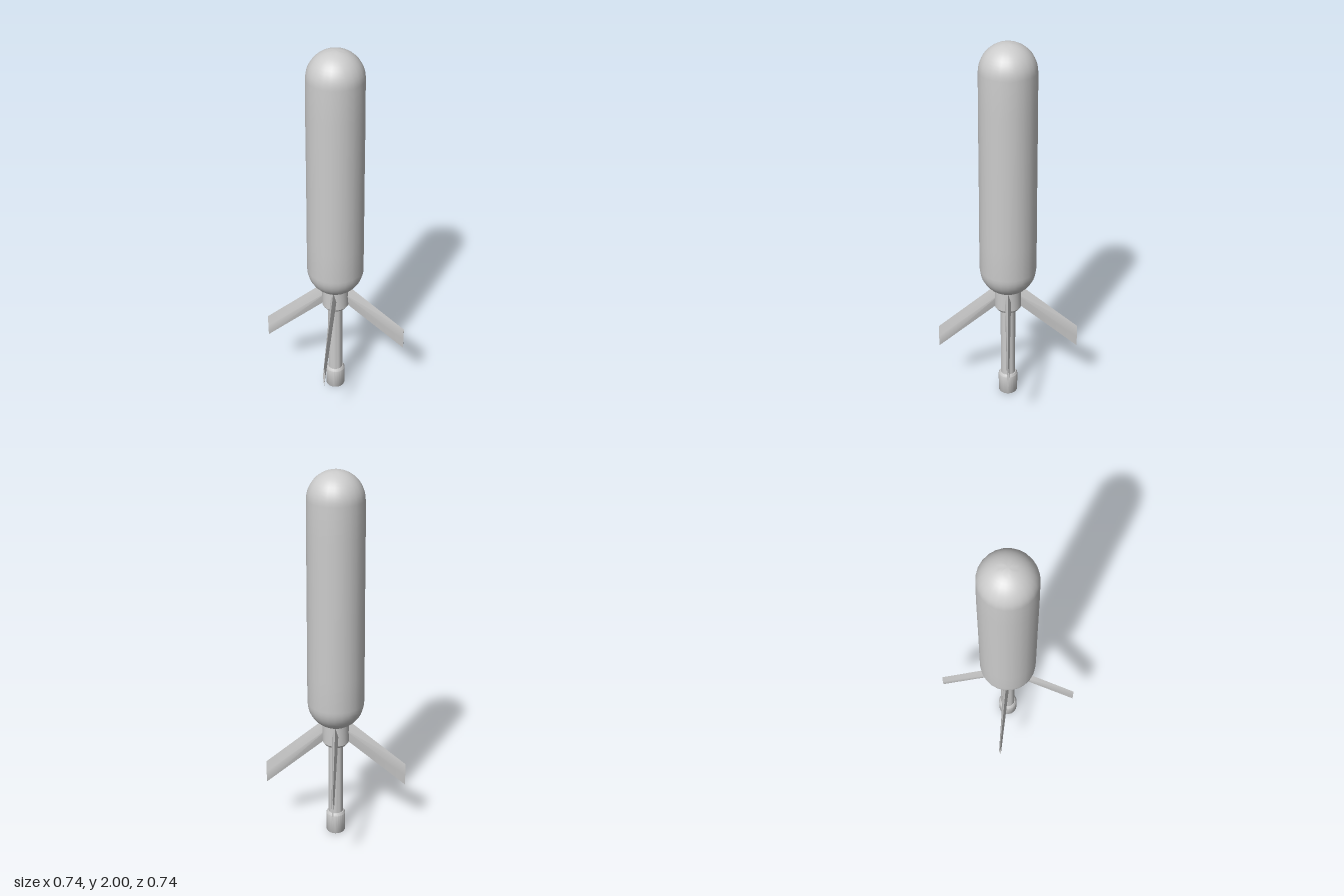
import * as THREE from 'three';
import { toCreasedNormals } from 'three/addons/utils/BufferGeometryUtils.js';

const material = new THREE.MeshStandardMaterial({ color: 0xcccccc });

function addPart(group, name, geometry, crease = 0.6) {
  const mesh = new THREE.Mesh(toCreasedNormals(geometry, crease), material);
  mesh.name = name;
  group.add(mesh);
  return mesh;
}

// Turned part from [radius, height] pairs, listed from bottom to top
function turned(points, sides = 24) {
  return new THREE.LatheGeometry(points.map(([r, y]) => new THREE.Vector2(r, y)), sides);
}

// Tapered, swept-back fin with a diamond section, pointing along +x
function finGeometry() {
  // x, top height, bottom height, half thickness
  const stations = [[0.03, 0.702, 0.577, 0.017], [0.37, 0.415, 0.29, 0.006]];
  const positions = [];
  for (const [x, top, bottom, t] of stations) {
    const mid = (top + bottom) / 2;
    positions.push(x, top, 0, x, mid, t, x, bottom, 0, x, mid, -t);
  }
  const index = [0, 1, 2, 0, 2, 3, 4, 6, 5, 4, 7, 6];
  for (let i = 0; i < 4; i++) {
    const j = (i + 1) % 4;
    index.push(i, i + 4, j, j, i + 4, j + 4);
  }
  // Root cap faces inward, tip cap faces outward
  const capped = [0, 2, 1, 0, 3, 2, 4, 5, 6, 4, 6, 7];
  const sides = [];
  for (let k = 12; k < index.length; k += 3) sides.push(index[k], index[k + 2], index[k + 1]);
  const geometry = new THREE.BufferGeometry();
  geometry.setAttribute('position', new THREE.Float32BufferAttribute(positions, 3));
  geometry.setIndex([...capped, ...sides]);
  return geometry;
}

export function createModel() {
  const group = new THREE.Group();

  // Slightly tapered body with rounded ends
  const body = [];
  const steps = 12;
  for (let i = 0; i <= steps; i++) {
    const a = (i / steps - 1) * Math.PI / 2;
    body.push([0.147 * Math.cos(a), 0.785 + 0.145 * Math.sin(a)]);
  }
  body[0][0] = 0;
  body.push([0.147, 0.95], [0.145, 1.3], [0.144, 1.68]);
  for (let i = 0; i <= steps; i++) {
    const a = i / steps * Math.PI / 2;
    body.push([i === steps ? 0 : 0.142 * Math.cos(a), 1.858 + 0.142 * Math.sin(a)]);
  }
  addPart(group, 'body', turned(body));

  // Collar carrying the fins
  addPart(group, 'collar', turned([[0, 0.538], [0.06, 0.538], [0.07, 0.552], [0.07, 0.68], [0, 0.68]]));

  // Tail stem
  addPart(group, 'stem', turned([[0, 0.06], [0.039, 0.06], [0.039, 0.56], [0, 0.56]]));

  // Hollow end cap
  addPart(group, 'endCap', turned([
    [0, 0.025], [0.04, 0.025], [0.04, 0], [0.048, 0], [0.051, 0.006],
    [0.051, 0.11], [0.043, 0.123], [0, 0.123],
  ]));

  // Four fins
  for (let i = 0; i < 4; i++) {
    addPart(group, 'fin' + (i + 1), finGeometry()).rotation.y = i * Math.PI / 2;
  }
  return group;
}
